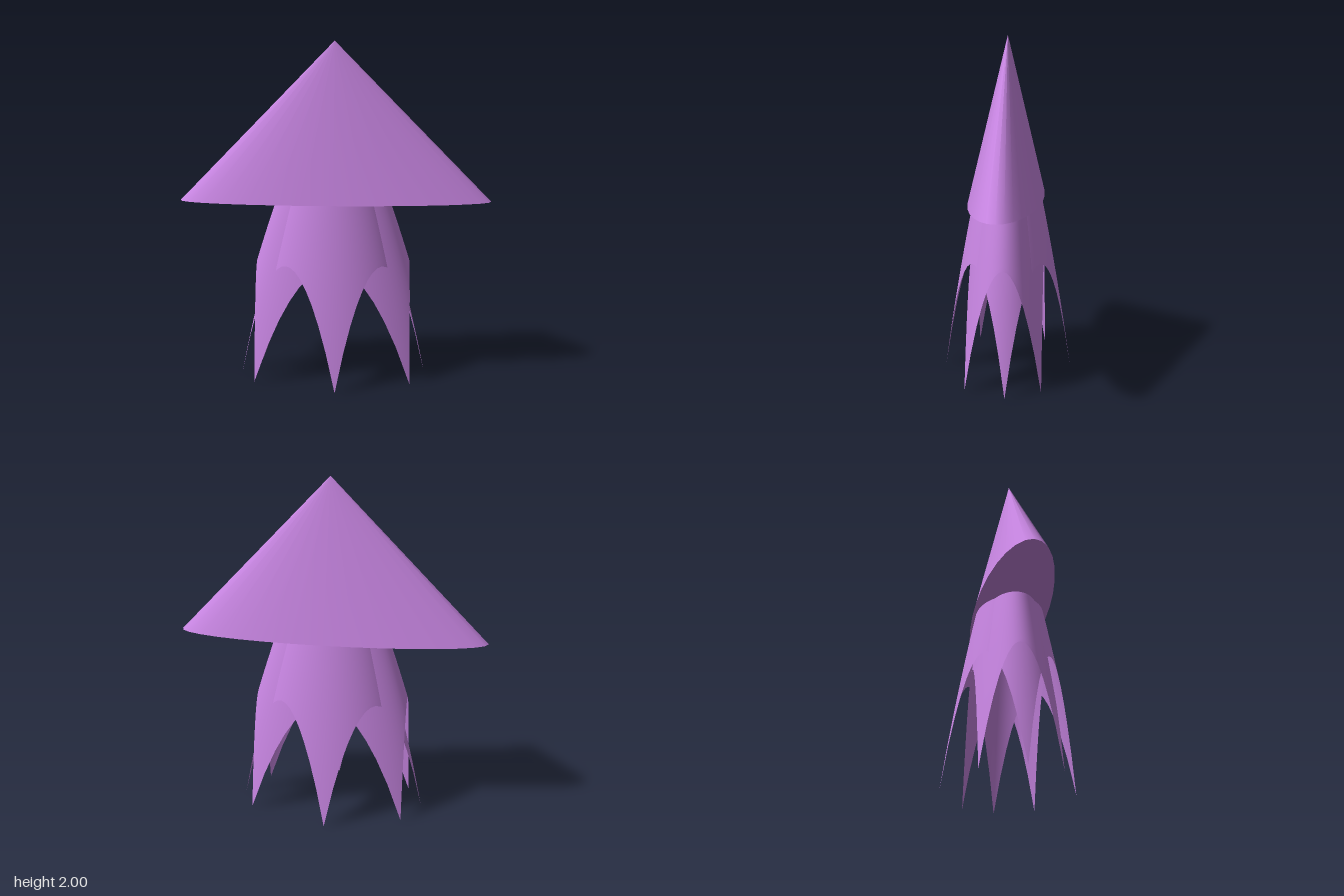
import * as THREE from 'three';
import { mergeVertices } from 'three/addons/utils/BufferGeometryUtils.js';

const RIM = 1.06; // height of the cap's lower rim

// Flared body profile: unit radius at height y, and its inverse
const radiusAt = (y) => Math.SQRT2 - 0.51 * y - 0.115 * y * y;
const heightAt = (r) => (-0.51 + Math.sqrt(0.2601 + 0.46 * (Math.SQRT2 - r))) / 0.23;

// Open elliptical skirt trimmed by four upright planes, leaving four pointed legs
function skirt(rx, rz, turn) {
  let g = new THREE.CylinderGeometry(1, 1, 1, 64, 16, true);
  g.deleteAttribute('uv');
  g.deleteAttribute('normal');
  g = mergeVertices(g);
  const p = g.attributes.position;
  for (let i = 0; i < p.count; i++) {
    const a = Math.atan2(p.getZ(i), p.getX(i));
    const edge = 1 / Math.max(Math.abs(Math.cos(a)), Math.abs(Math.sin(a)));
    const hem = Math.max(0, heightAt(edge));
    const y = THREE.MathUtils.lerp(hem, RIM, p.getY(i) + 0.5);
    const r = radiusAt(y);
    p.setXYZ(i, rx * r * Math.cos(a + turn), y, rz * r * Math.sin(a + turn));
  }
  g.computeVertexNormals();
  return g;
}

export function createModel() {
  const group = new THREE.Group();
  const purple = new THREE.MeshStandardMaterial({ color: 0xc684e0, side: THREE.DoubleSide });
  purple.name = 'purple';

  const add = (name, geometry, x = 0, y = 0) => {
    const mesh = new THREE.Mesh(geometry, purple);
    mesh.name = name;
    mesh.position.set(x, y, 0);
    group.add(mesh);
  };

  // Wide flattened cone with a closed underside
  const cap = new THREE.ConeGeometry(1, 2 - RIM, 32);
  cap.scale(0.93, 1, 0.22);
  add('capCone', cap, 0, (2 + RIM) / 2);

  // Two interleaved skirts: legs at the corners, and legs on the axes
  add('cornerLegs', skirt(0.46, 0.218, 0), -0.01);
  add('axisLegs', skirt(0.395, 0.27, Math.PI / 4 - 0.045), -0.01);

  return group;
}
